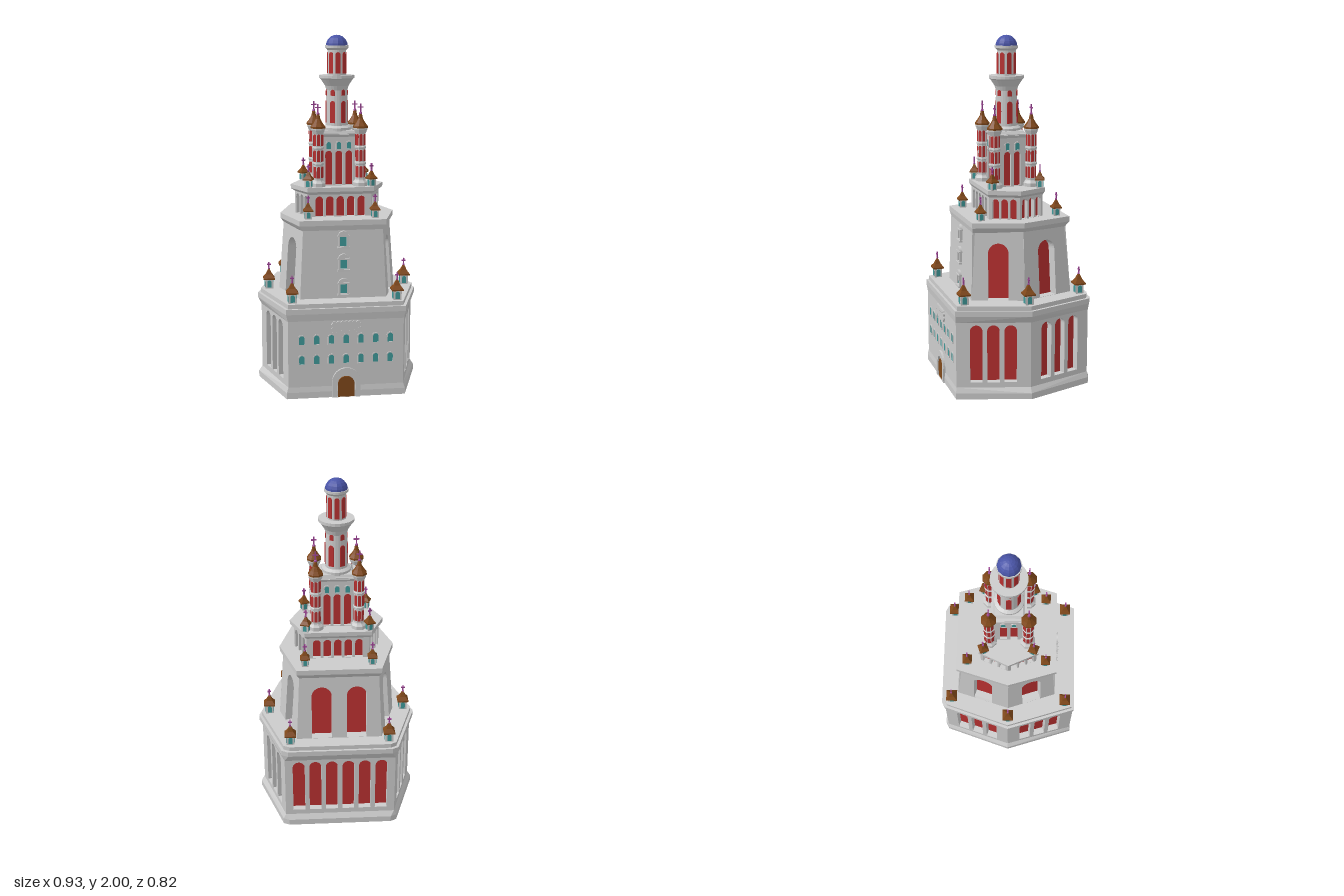
import * as THREE from 'three';
import { ConvexGeometry } from 'three/addons/geometries/ConvexGeometry.js';

const mat = (color) => new THREE.MeshStandardMaterial({ color, flatShading: true, side: THREE.DoubleSide });
const V = (x, y, z) => new THREE.Vector3(x, y, z);

export function createModel() {
  const root = new THREE.Group();
  root.name = 'steppedTower';
  const stone = mat(0xcccccc), red = mat(0xb83030), teal = mat(0x3f9a9a);
  const brown = mat(0x80481a), blue = mat(0x4a55a8), pink = mat(0xa04898);

  const add = (parent, name, geo, m, x = 0, y = 0, z = 0) => {
    const mesh = new THREE.Mesh(geo, m);
    mesh.name = name;
    mesh.position.set(x, y, z);
    parent.add(mesh);
    return mesh;
  };
  const group = (parent, name, x = 0, y = 0, z = 0, ry = 0) => {
    const g = new THREE.Group();
    g.name = name;
    g.position.set(x, y, z);
    g.rotation.y = ry;
    parent.add(g);
    return g;
  };
  const extrude = (shape, depth) => new THREE.ExtrudeGeometry(shape, { depth, bevelEnabled: false, curveSegments: 8 });

  // Round-headed outline, standing on y
  const arch = (w, h, x = 0, y = 0, Type = THREE.Shape) => {
    const s = new Type();
    s.moveTo(x - w / 2, y);
    s.lineTo(x + w / 2, y);
    s.lineTo(x + w / 2, y + h - w / 2);
    s.absarc(x, y + h - w / 2, w / 2, 0, Math.PI, false);
    s.closePath();
    return s;
  };

  // Six-cornered plan: front corners, side points, back corners
  const hex = (fx, fz, sx, bx, bz) => [[-fx, fz], [fx, fz], [sx, 0], [bx, -bz], [-bx, -bz], [-sx, 0]];
  const prism = (name, bottom, top, y0, y1) => add(root, name, new ConvexGeometry([
    ...bottom.map(([x, z]) => V(x, y0, z)), ...top.map(([x, z]) => V(x, y1, z))]), stone);

  // One wall face with recessed arched niches {x, y, w, h}
  const wallFace = (name, a, b, c, d, y0, y1, depth, niches) => {
    const A = V(a[0], y0, a[1]), B = V(b[0], y0, b[1]), C = V(c[0], y1, c[1]), D = V(d[0], y1, d[1]);
    const origin = A.clone().add(B).multiplyScalar(0.5);
    const X = B.clone().sub(A).normalize();
    const Y = C.clone().add(D).multiplyScalar(0.5).sub(origin);
    Y.addScaledVector(X, -Y.dot(X)).normalize();
    const Z = X.clone().cross(Y);
    const shape = new THREE.Shape([A, B, D, C].map((p) => {
      const q = p.clone().sub(origin);
      return new THREE.Vector2(q.dot(X), q.dot(Y));
    }));
    const g = group(root, name);
    for (const n of niches) {
      shape.holes.push(arch(n.w, n.h, n.x, n.y, THREE.Path));
      add(g, 'nichePanel', new THREE.ShapeGeometry(arch(n.w, n.h, n.x, n.y), 8), red, 0, 0, -depth + 0.002);
    }
    add(g, 'wallPanel', extrude(shape, depth), stone, 0, 0, -depth);
    g.matrixAutoUpdate = true;
    g.quaternion.setFromRotationMatrix(new THREE.Matrix4().makeBasis(X, Y, Z));
    g.position.copy(origin);
  };
  const walls = (name, bottom, top, y0, y1, depth, nichesOf) => bottom.forEach((a, i) => {
    const j = (i + 1) % bottom.length;
    wallFace(name, a, bottom[j], top[i], top[j], y0, y1, depth, nichesOf(i));
  });
  const row = (count, pitch, y, w, h) => Array.from({ length: count }, (_, i) =>
    ({ x: (i - (count - 1) / 2) * pitch, y, w, h }));

  // Base storey
  const baseWall = hex(0.325, 0.4, 0.445, 0.32, 0.39);
  const rim = [[-0.335, 0.405], [0.335, 0.405], [0.465, 0], [0.335, -0.39], [0.3, -0.408],
    [-0.3, -0.408], [-0.335, -0.39], [-0.465, 0]];
  const scaled = (ring, k) => ring.map(([x, z]) => [x * k, z * k]);
  prism('plinth', rim, rim, 0, 0.035);
  prism('plinthSlope', rim, baseWall, 0.035, 0.065);
  walls('baseWall', baseWall, baseWall, 0.06, 0.46, 0.04,
    (i) => i === 0 ? [] : row(i === 3 ? 6 : 3, 0.096, 0.035, 0.07, 0.335));
  prism('corniceSlope', baseWall, rim, 0.445, 0.485);
  prism('cornice', rim, rim, 0.485, 0.515);
  prism('deck', scaled(rim, 0.965), scaled(rim, 0.965), 0.515, 0.54);

  // Front windows in two rows
  for (const y of [0.195, 0.31]) for (let i = -3; i <= 3; i++) {
    const w = group(root, 'frontWindow', i * 0.083, y, 0.4);
    const frame = arch(0.042, 0.062, 0, -0.004);
    frame.holes.push(arch(0.03, 0.05, 0, 0.002, THREE.Path));
    add(w, 'windowFrame', extrude(frame, 0.004), stone);
    add(w, 'windowPane', new THREE.ShapeGeometry(arch(0.03, 0.05, 0, 0.002)), teal, 0, 0, 0.002);
  }

  // Door with arched surround
  const surround = arch(0.16, 0.17);
  surround.holes.push(arch(0.108, 0.135, 0, 0.001, THREE.Path));
  add(root, 'doorSurround', extrude(surround, 0.012), stone, 0, 0, 0.4);
  add(root, 'door', extrude(arch(0.094, 0.12), 0.008), brown, 0, 0, 0.4);
  for (const s of [-1, 1]) add(root, 'doorPost', new THREE.BoxGeometry(0.024, 0.1, 0.014), stone, s * 0.066, 0.05, 0.406);

  // Scalloped plaque over the door
  add(root, 'plaque', new THREE.BoxGeometry(0.15, 0.055, 0.012), stone, 0, 0.405, 0.403);
  for (const s of [-1, 1]) {
    for (let i = -3; i <= 3; i++) add(root, 'plaqueScallop',
      new THREE.CylinderGeometry(0.011, 0.011, 0.014, 10).rotateX(Math.PI / 2), stone, i * 0.022, 0.405 + s * 0.026, 0.403);
    for (const y of [-0.012, 0.012]) add(root, 'plaqueScallop',
      new THREE.CylinderGeometry(0.012, 0.012, 0.014, 10).rotateX(Math.PI / 2), stone, s * 0.075, 0.405 + y, 0.403);
  }

  // Tapering second storey
  const lower2 = hex(0.245, 0.285, 0.34, 0.245, 0.31), upper2 = hex(0.225, 0.272, 0.305, 0.225, 0.28);
  const rim2 = hex(0.245, 0.278, 0.33, 0.24, 0.3);
  walls('secondStoreyWall', lower2, upper2, 0.535, 0.945, 0.055,
    (i) => i === 0 ? [] : row(i === 3 ? 2 : 1, 0.2, 0.006, 0.115, 0.325));
  prism('secondCorniceSlope', upper2, rim2, 0.925, 0.955);
  prism('secondCornice', rim2, rim2, 0.955, 0.985);
  for (const [y, z] of [[0.555, 0.283], [0.695, 0.279], [0.825, 0.275]]) {
    const w = group(root, 'tallWindow', 0, y, z);
    const frame = arch(0.06, 0.1);
    frame.holes.push(new THREE.Path([[-0.019, 0.014], [0.019, 0.014], [0.019, 0.068], [-0.019, 0.068]]
      .map(([x, v]) => new THREE.Vector2(x, v))));
    add(w, 'windowFrame', extrude(frame, 0.014), stone);
    add(w, 'windowPane', new THREE.PlaneGeometry(0.04, 0.056), teal, 0, 0.041, 0.004);
    add(w, 'windowSill', new THREE.BoxGeometry(0.068, 0.01, 0.03), stone, 0, 0.005, 0.005);
    add(w, 'windowHead', new THREE.BoxGeometry(0.066, 0.008, 0.026), stone, 0, 0.072, 0.005);
  }

  // Arcaded third storey
  const wall3 = hex(0.178, 0.16, 0.245, 0.178, 0.16), rim3 = hex(0.19, 0.17, 0.268, 0.19, 0.17);
  walls('arcadeWall', wall3, wall3, 0.98, 1.125, 0.025,
    (i) => row(i % 3 ? 3 : 5, i % 3 ? 0.05 : 0.06, 0.006, i % 3 ? 0.038 : 0.044, 0.115));
  prism('arcadeCorniceSlope', wall3, rim3, 1.112, 1.128);
  prism('arcadeCornice', rim3, rim3, 1.128, 1.152);

  // Belfry block
  const rect = (x, z) => [[-x, z], [x, z], [x, -z], [-x, -z]];
  const block = rect(0.11, 0.09);
  walls('belfryWall', block, block, 1.15, 1.45, 0.018,
    (i) => row(i % 2 ? 2 : 3, 0.058, 0.006, 0.04, 0.195));
  for (let side = 0; side < 4; side++) {
    const n = side % 2 ? 2 : 3, g = group(root, 'belfryUpperWindows', 0, 1.36, 0, side * Math.PI / 2);
    for (const p of row(n, 0.058, 0, 0.026, 0.042)) {
      const frame = arch(0.036, 0.052, p.x, -0.004);
      frame.holes.push(arch(0.024, 0.04, p.x, 0.002, THREE.Path));
      const z = side % 2 ? 0.11 : 0.09;
      add(g, 'windowFrame', extrude(frame, 0.005), stone, 0, 0, z);
      add(g, 'windowPane', new THREE.ShapeGeometry(arch(0.024, 0.04, p.x, 0.002)), teal, 0, 0, z + 0.002);
    }
  }
  prism('belfryCornice', block, rect(0.117, 0.097), 1.43, 1.445);
  prism('belfryTop', rect(0.1, 0.085), rect(0.085, 0.078), 1.445, 1.465);

  // Lathed piece with flat sides facing the axes
  const lathe = (parent, name, profile, sides, m, y = 0) => add(parent, name, new THREE.LatheGeometry(
    profile.map(([r, v]) => new THREE.Vector2(r, v)), sides).rotateY(Math.PI / sides), m, 0, y, 0);
  const finial = (parent, y, h) => {
    add(parent, 'finialBall', new THREE.SphereGeometry(h * 0.14, 8, 6), pink, 0, y + h * 0.15, 0);
    add(parent, 'crossPost', new THREE.BoxGeometry(0.007, h, 0.007), pink, 0, y + h / 2, 0);
    add(parent, 'crossBar', new THREE.BoxGeometry(h * 0.5, 0.007, 0.007), pink, 0, y + h * 0.68, 0);
  };

  // Corner kiosks with pyramid roofs
  const kiosk = (x, y, z, k, ry = 0) => {
    const g = group(root, 'cornerKiosk', x, y, z, ry);
    const w = 0.046 * k;
    add(g, 'kioskBody', new THREE.BoxGeometry(w, 0.058 * k, w), stone, 0, 0.029 * k, 0);
    for (let i = 0; i < 4; i++) {
      const s = group(g, 'kioskSide', 0, 0, 0, i * Math.PI / 2);
      add(s, 'kioskWindow', extrude(arch(0.024 * k, 0.042 * k), 0.002), teal, 0, 0.006, w / 2);
    }
    lathe(g, 'kioskRoof', [[0, 0.053], [0.046, 0.053], [0.046, 0.061], [0.024, 0.082], [0.009, 0.108], [0, 0.115]]
      .map(([r, v]) => [r * k, v * k]), 4, brown);
    finial(g, 0.108 * k, 0.045);
  };
  for (const s of [-1, 1]) {
    kiosk(s * 0.295, 0.54, 0.345, 1);
    kiosk(s * 0.283, 0.54, -0.345, 1);
    kiosk(s * 0.4, 0.54, 0, 1);
    for (const t of [-1, 1]) {
      kiosk(s * 0.19, 0.985, t > 0 ? 0.213 : -0.237, 0.82);
      kiosk(s * 0.18, 1.152, t * 0.141, 0.8, s * t * 0.35);
      // Octagonal turrets
      const g = group(root, 'turret', s * 0.121, 1.15, t * 0.108);
      lathe(g, 'turretShaft', [[0, 0], [0.044, 0], [0.044, 0.022], [0.033, 0.034], [0.03, 0.04],
        [0.03, 0.3], [0.04, 0.325], [0.04, 0.335], [0, 0.335]], 8, stone);
      for (const y of [0.125, 0.215]) lathe(g, 'turretBand', [[0.029, 0], [0.034, 0.004], [0.034, 0.012], [0.029, 0.016]], 8, stone, y);
      for (let i = 0; i < 8; i++) {
        const f = group(g, 'turretSide', 0, 0, 0, i * Math.PI / 4);
        for (const y of [0.052, 0.145, 0.235]) add(f, 'turretWindow', extrude(arch(0.017, 0.065), 0.001), red, 0, y, 0.0278);
      }
      lathe(g, 'turretRoof', [[0, 0.333], [0.043, 0.333], [0.043, 0.343], [0.028, 0.362], [0.014, 0.385], [0.009, 0.41], [0, 0.418]], 8, brown);
      finial(g, 0.405, 0.065);
    }
  }

  // Round tower and lantern
  lathe(root, 'roundTower', [[0, 1.46], [0.082, 1.46], [0.082, 1.478], [0.064, 1.49], [0.06, 1.69], [0.068, 1.715],
    [0.092, 1.752], [0.1, 1.758], [0.1, 1.775], [0.054, 1.775], [0.053, 1.915], [0.066, 1.928], [0.066, 1.942], [0, 1.942]], 24, stone);
  for (let i = 0; i < 6; i++) {
    const g = group(root, 'towerWindows', 0, 0, 0, (i + 0.5) * Math.PI / 3);
    add(g, 'towerWindow', extrude(arch(0.03, 0.125), 0.004), red, 0, 1.505, 0.06);
    add(g, 'roundWindow', extrude(arch(0.024, 0.034), 0.004), red, 0, 1.66, 0.058);
  }
  for (let i = 0; i < 8; i++) {
    const g = group(root, 'lanternSide', 0, 0, 0, i * Math.PI / 4);
    add(g, 'lanternWindow', extrude(arch(0.027, 0.12), 0.004), red, 0, 1.784, 0.05);
  }
  add(root, 'dome', new THREE.SphereGeometry(0.063, 12, 6, 0, Math.PI * 2, 0, Math.PI / 2), blue, 0, 1.937, 0);
  return root;
}
